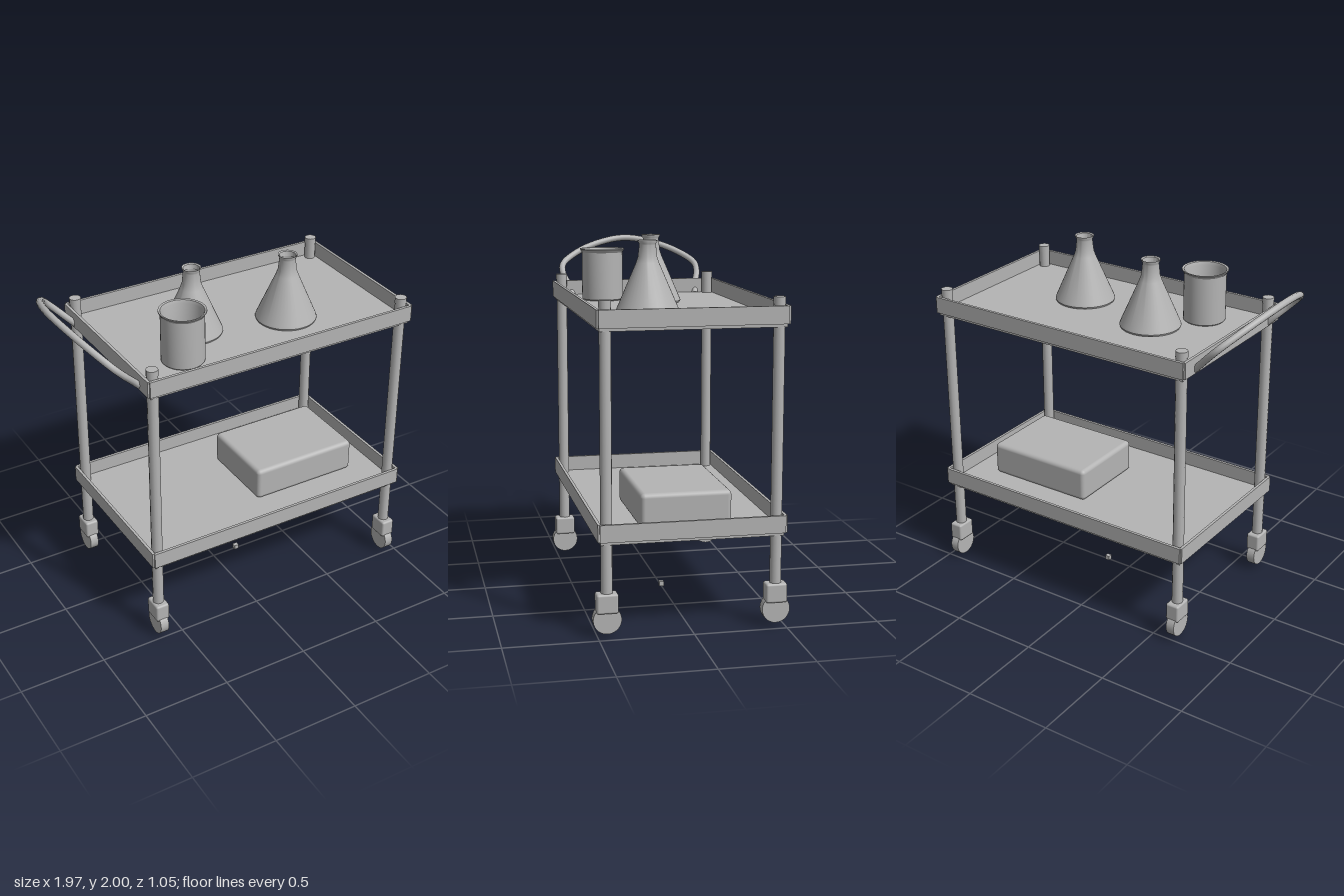
import * as THREE from 'three';
import { RoundedBoxGeometry } from 'three/addons/geometries/RoundedBoxGeometry.js';
import { toCreasedNormals } from 'three/addons/utils/BufferGeometryUtils.js';

export function createModel() {
  const model = new THREE.Group();
  model.name = 'labCart';
  const grey = new THREE.MeshStandardMaterial({ color: 0xb4b4b4, side: THREE.DoubleSide });
  grey.name = 'grey';

  function add(parent, name, geometry, x, y, z) {
    const mesh = new THREE.Mesh(geometry, grey);
    mesh.name = name;
    mesh.position.set(x, y, z);
    parent.add(mesh);
    return mesh;
  }

  // Trays: inset floor plate with four raised rails
  const MID = 0.155;
  function tray(name, y) {
    const group = new THREE.Group();
    group.name = name;
    group.position.set(MID, y, 0);
    model.add(group);
    add(group, 'trayFloor', new THREE.BoxGeometry(1.62, 0.025, 0.97), 0, 0.0125, 0);
    for (const s of [-1, 1]) {
      add(group, 'sideRail', new THREE.BoxGeometry(1.636, 0.093, 0.016), 0, 0.0635, s * 0.492);
      add(group, 'endRail', new THREE.BoxGeometry(0.016, 0.093, 0.98), s * 0.82, 0.0635, 0);
    }
  }
  tray('topTray', 1.588);
  tray('bottomTray', 0.495);

  // Posts with caps and casters at each corner
  for (const x of [-0.625, 0.932]) {
    for (const z of [-0.45, 0.45]) {
      const corner = new THREE.Group();
      corner.name = 'cornerPost';
      corner.position.set(x, 0, z);
      model.add(corner);
      add(corner, 'post', new THREE.CylinderGeometry(0.031, 0.031, 1.5, 12), 0, 0.96, 0);
      add(corner, 'postCap', new THREE.CylinderGeometry(0.033, 0.033, 0.036, 12), 0, 1.724, 0);
      add(corner, 'casterHousing', new RoundedBoxGeometry(0.08, 0.105, 0.115, 2, 0.012), 0, 0.182, 0);
      const wheel = add(corner, 'casterWheel', new THREE.CylinderGeometry(0.075, 0.075, 0.05, 28), 0, 0.094, 0);
      wheel.rotation.z = Math.PI / 2;
    }
  }

  // Bent push handle lying in a tilted plane
  const half = [[-0.645, 0.38], [-0.70, 0.392], [-0.77, 0.42], [-0.82, 0.415], [-0.87, 0.35], [-0.93, 0.21]];
  const bar = [...half, [-0.968, 0], ...half.map(([x, z]) => [x, -z]).reverse()];
  const path = new THREE.CatmullRomCurve3(
    bar.map(([x, z]) => new THREE.Vector3(x, 1.63 + (-0.67 - x) * 1.02, z)));
  add(model, 'pushHandle', new THREE.TubeGeometry(path, 64, 0.019, 10), 0, 0, 0);

  // Glassware: turned profiles with open mouths
  function lathe(points) {
    const geometry = new THREE.LatheGeometry(points.map(([r, y]) => new THREE.Vector2(r, y)), 40);
    return toCreasedNormals(geometry, 0.6);
  }
  const flask = lathe([[0, 0], [0.155, 0], [0.167, 0.006], [0.171, 0.016], [0.166, 0.03], [0.062, 0.27],
    [0.052, 0.3], [0.045, 0.365], [0.046, 0.372], [0.053, 0.385], [0.053, 0.39], [0.045, 0.385], [0.04, 0.36]]);
  add(model, 'flask', flask, -0.14, 1.61, 0);
  add(model, 'flask', flask, 0.39, 1.61, 0.125);
  const beaker = lathe([[0, 0], [0.108, 0], [0.118, 0.01], [0.118, 0.28], [0.129, 0.296], [0.128, 0.301],
    [0.117, 0.298], [0.111, 0.28], [0.111, 0.012], [0, 0.012]]);
  add(model, 'beaker', beaker, -0.335, 1.61, 0.25);

  // Case on the lower tray
  add(model, 'storageCase', new RoundedBoxGeometry(0.655, 0.195, 0.49, 3, 0.025), 0.483, 0.615, 0);

  // Small block on the ground
  add(model, 'groundBlock', new THREE.BoxGeometry(0.027, 0.027, 0.027), MID, 0.0185, 0);
  model.children.at(-1).position.y = 0.0135;

  // Centre the footprint
  const box = new THREE.Box3().setFromObject(model);
  const centre = box.getCenter(new THREE.Vector3());
  for (const part of model.children) {
    part.position.x -= centre.x;
    part.position.z -= centre.z;
    part.position.y -= box.min.y;
  }
  return model;
}
